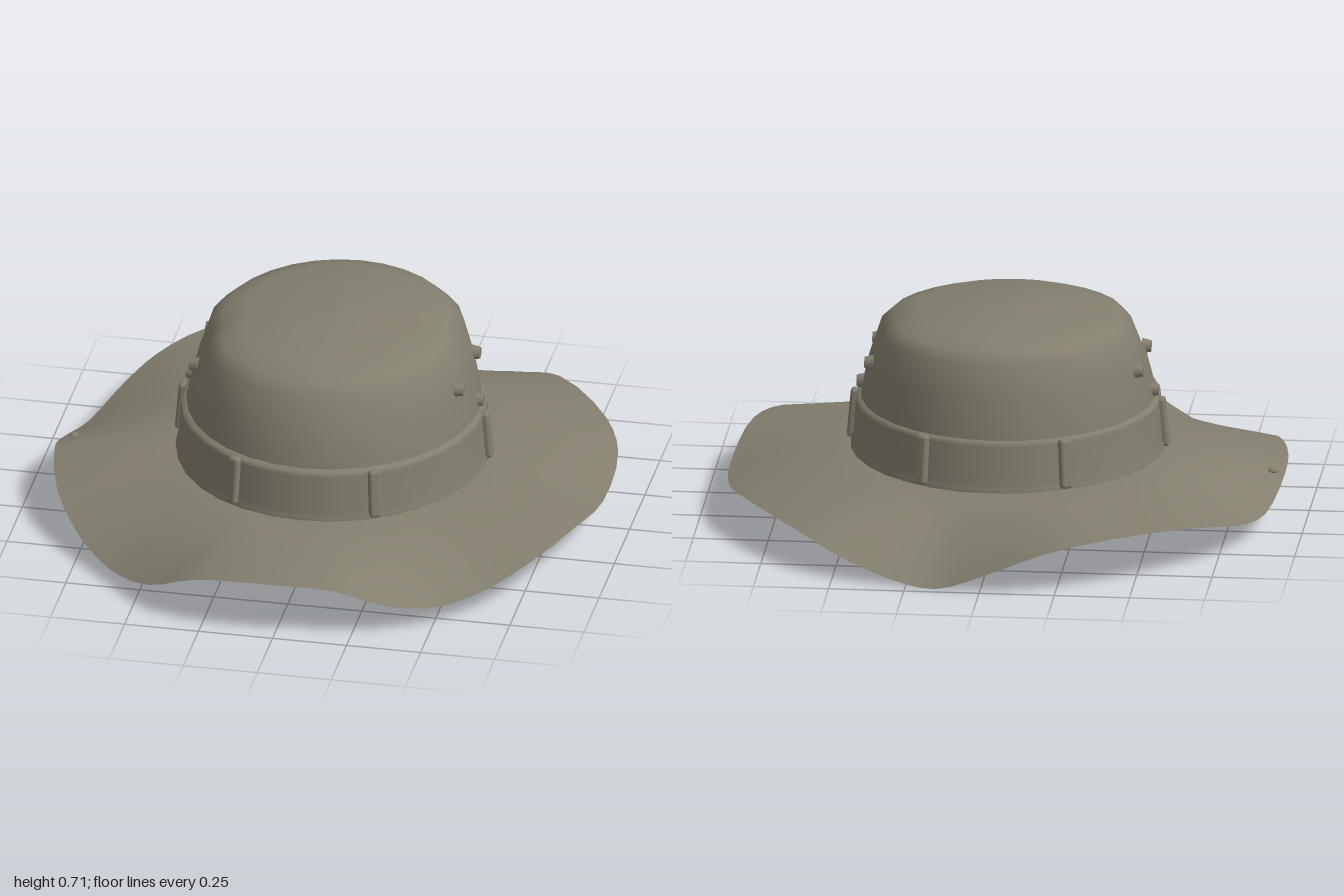
import * as THREE from 'three';
import { RoundedBoxGeometry } from 'three/addons/geometries/RoundedBoxGeometry.js';

const cloth = new THREE.MeshStandardMaterial({ color: 0x837e6e, side: THREE.DoubleSide });
cloth.name = 'olive cloth';

// Smooth surface through closed rings, listed from the inside/top outwards.
// Angles run from the front (+z) towards +x.
function ringSurface(rows, segments, point) {
  const pos = [], index = [];
  for (let r = 0; r < rows; r++)
    for (let s = 0; s < segments; s++) pos.push(...point(r, s));
  for (let r = 0; r < rows - 1; r++)
    for (let s = 0; s < segments; s++) {
      const n = (s + 1) % segments;
      const a = r * segments + s, b = a + segments, c = (r + 1) * segments + n, d = r * segments + n;
      index.push(a, b, c, a, c, d);
    }
  const g = new THREE.BufferGeometry();
  g.setAttribute('position', new THREE.Float32BufferAttribute(pos, 3));
  g.setIndex(index);
  g.computeVertexNormals();
  return g;
}

// Wavy edge of the brim: x, z, height
const RIM = [
  [0, 0.99, 0.193], [0.2, 0.96, 0.175], [0.37, 0.9, 0.105], [0.52, 0.8, 0.07], [0.66, 0.68, 0.09],
  [0.8, 0.52, 0.145], [0.88, 0.33, 0.16], [0.92, 0.05, 0.12], [0.9, -0.3, 0.125], [0.82, -0.5, 0.14],
  [0.6, -0.8, 0.12], [0.47, -0.89, 0.075], [0.3, -0.94, 0.02], [0.15, -0.97, 0], [-0.03, -0.995, 0.065],
  [-0.2, -1, 0.135], [-0.36, -0.96, 0.17], [-0.6, -0.8, 0.17], [-0.73, -0.65, 0.14], [-0.81, -0.5, 0.1],
  [-0.88, -0.27, 0.07], [-0.92, -0.02, 0.13], [-0.92, 0.1, 0.16], [-0.86, 0.36, 0.14],
  [-0.75, 0.55, 0.08], [-0.61, 0.71, 0.045], [-0.45, 0.86, 0.08], [-0.27, 0.95, 0.165],
];

// Crown and band cross-sections: height, x radius, z radius, z centre
const CROWN = [
  [0.708, 0.002, 0.002, -0.02], [0.7, 0.17, 0.19, -0.03], [0.68, 0.32, 0.35, -0.03],
  [0.655, 0.395, 0.425, -0.03], [0.615, 0.438, 0.462, -0.03], [0.52, 0.458, 0.495, -0.025],
  [0.4, 0.487, 0.525, -0.015], [0.21, 0.505, 0.545, -0.01],
];
const BAND = [
  [0.385, 0.485, 0.523, -0.012], [0.38, 0.504, 0.541, -0.01], [0.365, 0.506, 0.543, -0.01],
  [0.235, 0.516, 0.556, -0.01], [0.225, 0.522, 0.562, -0.01], [0.205, 0.523, 0.563, -0.01],
];

function brimGeometry() {
  const curve = new THREE.CatmullRomCurve3(RIM.map(([x, z, y]) => new THREE.Vector3(x, y, z)), true);
  const segments = 84, rows = 8;
  return ringSurface(rows, segments, (r, s) => {
    const p = curve.getPoint(s / segments), a = Math.atan2(p.x, p.z), t = r / (rows - 1);
    const x = 0.505 * Math.sin(a), z = -0.01 + 0.545 * Math.cos(a);
    // the waves grow towards the edge
    return [x + (p.x - x) * t, 0.212 + (p.y - 0.212) * t ** 1.5, z + (p.z - z) * t];
  });
}

function crownGeometry() {
  const segments = 32;
  return ringSurface(CROWN.length, segments, (r, s) => {
    const [y, rx, rz, zc] = CROWN[r], a = (s / segments) * Math.PI * 2;
    // soft side dents near the top, and a top that is higher at the back
    const dent = y > 0.6 && y < 0.69
      ? 1 - 0.07 * Math.exp(-(((a - 1.7) / 0.22) ** 2)) - 0.07 * Math.exp(-(((a - 4.9) / 0.22) ** 2)) : 1;
    const tilt = y > 0.6 ? -0.025 * rz * Math.cos(a) : 0;
    return [rx * dent * Math.sin(a), y + tilt, zc + rz * dent * Math.cos(a)];
  });
}

function bandGeometry() {
  const segments = 32;
  return ringSurface(BAND.length, segments, (r, s) => {
    const [y, rx, rz, zc] = BAND[r], a = (s / segments) * Math.PI * 2;
    return [rx * Math.sin(a), y, zc + rz * Math.cos(a)];
  });
}

export function createModel() {
  const hat = new THREE.Group();
  hat.name = 'hat';
  const add = (name, geometry) => {
    const mesh = new THREE.Mesh(geometry, cloth);
    mesh.name = name;
    hat.add(mesh);
    return mesh;
  };

  add('brim', brimGeometry());
  add('crown', crownGeometry());
  add('band', bandGeometry());

  // Six loops holding the band
  const loop = new RoundedBoxGeometry(0.042, 0.168, 0.03, 2, 0.012);
  for (const a of [0.48, Math.PI / 2, Math.PI - 0.48])
    for (const side of [-1, 1]) {
      const m = add('bandLoop', loop);
      m.position.set(side * 0.515 * Math.sin(a), 0.3, -0.012 + 0.555 * Math.cos(a));
      m.rotation.set(-0.09, side * a, 0, 'YXZ');
    }

  // Three ventilation eyelets on each side of the crown
  const eyelet = new THREE.CylinderGeometry(0.02, 0.027, 0.03, 8);
  for (const [x, y, z] of [[0.448, 0.52, 0.11], [0.448, 0.52, -0.16], [0.487, 0.415, -0.03]])
    for (const side of [-1, 1]) {
      const m = add('eyelet', eyelet);
      m.position.set(side * x, y, z);
      m.rotation.z = -side * Math.PI / 2;
    }

  // Small knot on the edge of the brim
  const knot = add('brimKnot', new THREE.SphereGeometry(0.018, 8, 6));
  knot.position.set(-0.88, 0.142, -0.02);
  knot.scale.y = 0.6;

  return hat;
}
